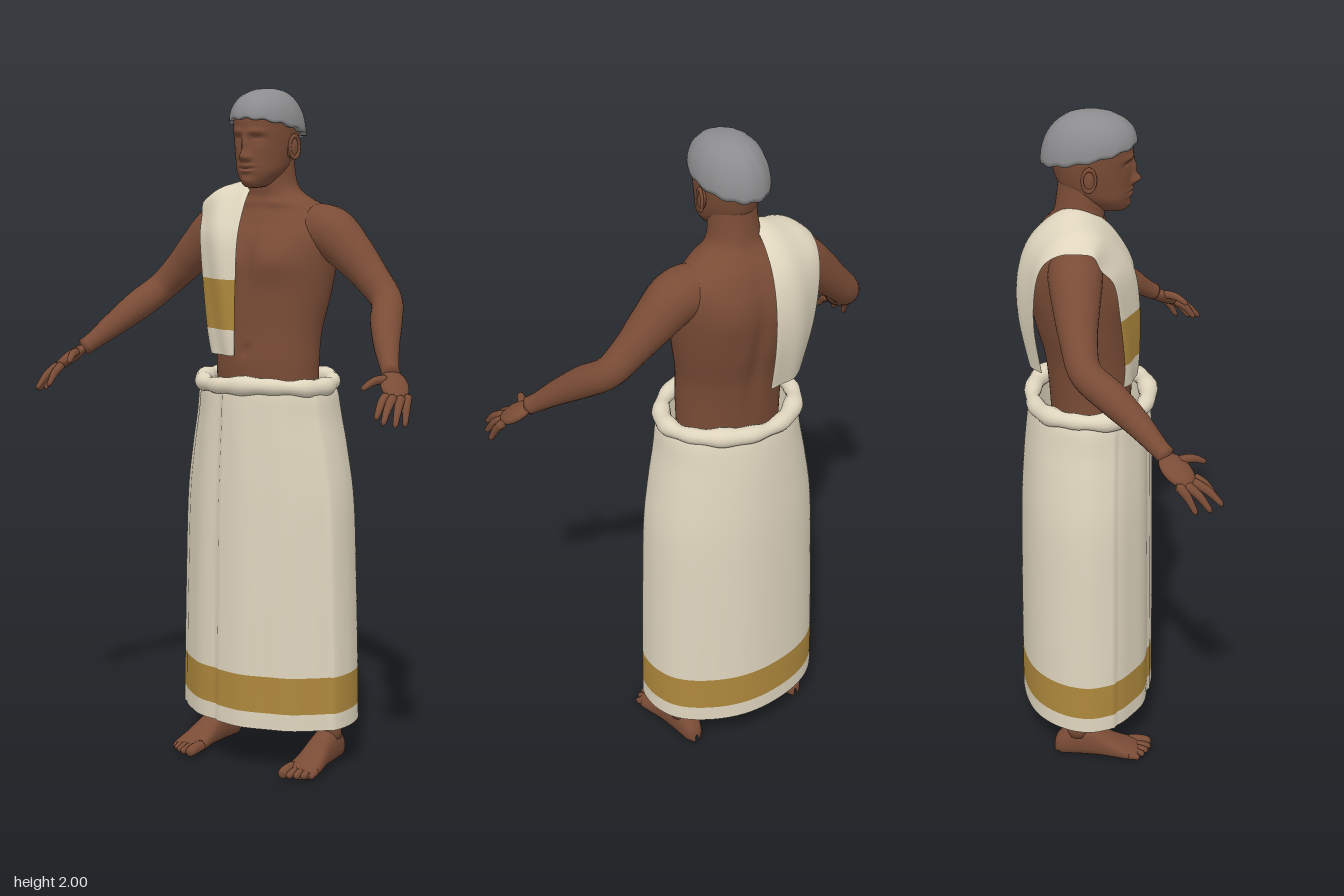
import * as THREE from 'three';
import { mergeVertices } from 'three/addons/utils/BufferGeometryUtils.js';

const { sin, cos, PI, exp, abs, min, max, floor, sign } = Math;
const mat = (name, color, side = THREE.FrontSide) => {
  const m = new THREE.MeshStandardMaterial({ color, side });
  m.name = name;
  return m;
};

// Smooth interpolation through rows of numbers; t counts rows.
function sample(rows, t) {
  const i = min(floor(t), rows.length - 2), f = t - i;
  const p0 = rows[max(i - 1, 0)], p1 = rows[i], p2 = rows[i + 1], p3 = rows[min(i + 2, rows.length - 1)];
  return p1.map((b, k) => {
    const c = p2[k], m1 = (c - p0[k]) / 2, m2 = (p3[k] - b) / 2;
    return b + f * (m1 + f * (3 * (c - b) - 2 * m1 - m2 + f * (2 * (b - c) + m1 + m2)));
  });
}

// Smooth surface from fn(u, v) => [x, y, z]
function surface(fn, nu, nv) {
  const pos = [], idx = [];
  for (let j = 0; j <= nv; j++) for (let i = 0; i <= nu; i++) pos.push(...fn(i / nu, j / nv));
  for (let j = 0; j < nv; j++) for (let i = 0; i < nu; i++) {
    const a = j * (nu + 1) + i, d = a + nu + 1;
    idx.push(a, a + 1, d + 1, a, d + 1, d);
  }
  const g = new THREE.BufferGeometry();
  g.setAttribute('position', new THREE.Float32BufferAttribute(pos, 3));
  g.setIndex(idx);
  const merged = mergeVertices(g, 1e-5);
  merged.computeVertexNormals();
  return merged;
}

// Upright body through rows [y, half width, back z, front z]; angle 0 faces front.
function loft(rows, nu, nv, warp = (p) => p, t0 = 0, t1 = rows.length - 1) {
  return surface((u, v) => {
    const [y, rx, zb, zf] = sample(rows, t0 + (t1 - t0) * v), a = (u % 1) * 2 * PI;
    return warp([rx * sin(a), y, (zf + zb) / 2 + (zf - zb) / 2 * cos(a)], a);
  }, nu, nv);
}

// Round limb through points [x, y, z, radius]
function limb(points, radial = 16, steps = 8) {
  const curve = new THREE.CatmullRomCurve3(points.map((p) => new THREE.Vector3(...p)));
  const n = steps * (points.length - 1);
  let g = new THREE.TubeGeometry(curve, n, 1, radial);
  const p = g.attributes.position, v = new THREE.Vector3();
  for (let i = 0; i <= n; i++) {
    const c = curve.getPointAt(i / n);
    const t = curve.getUtoTmapping(i / n) * (points.length - 1);
    const r = i === 0 || i === n ? 0 : sample(points, t)[3];
    for (let j = 0; j <= radial; j++) {
      const k = i * (radial + 1) + j;
      v.fromBufferAttribute(p, k).sub(c).multiplyScalar(r).add(c);
      p.setXYZ(k, v.x, v.y, v.z);
    }
  }
  g.deleteAttribute('uv');
  g.deleteAttribute('normal');
  g = mergeVertices(g, 1e-5);
  g.computeVertexNormals();
  return g;
}

// Gaussian bump for sculpting
const bump = (x, y, cx, cy, sx, sy, h) => h * exp(-(((x - cx) / sx) ** 2) - ((y - cy) / sy) ** 2);

export function createModel() {
  const model = new THREE.Group();
  const skin = mat('brown skin', 0x7a4c36);
  const cream = mat('cream cloth', 0xdfd5be, THREE.DoubleSide);
  const gold = mat('gold border', 0xae883c, THREE.DoubleSide);
  const grey = mat('grey cap', 0x8c8c8e, THREE.DoubleSide);
  const add = (name, g, m, parent = model) => {
    const mesh = new THREE.Mesh(g, m);
    mesh.name = name;
    parent.add(mesh);
    return mesh;
  };

  // Torso and neck with chest, belly, spine and shoulder blades
  add('torso', loft([
    [1.08, .16, -.18, .045], [1.2, .163, -.188, .054], [1.3, .166, -.2, .05], [1.4, .184, -.226, .048],
    [1.5, .2, -.243, .046], [1.57, .208, -.24, .03], [1.62, .2, -.225, .002], [1.66, .165, -.205, -.018],
    [1.69, .11, -.182, -.025], [1.72, .077, -.165, -.022], [1.78, .067, -.155, -.015], [1.84, .066, -.15, -.01],
  ], 80, 66, ([x, y, z], a) => {
    const ax = abs(x), f = max(0, cos(a)), b = max(0, -cos(a));
    z += f * (bump(ax, y, .09, 1.51, .06, .05, .017) - bump(x, y, 0, 1.5, .018, .1, .008)
      - bump(x, y, 0, 1.25, .012, .012, .012) + bump(ax, y, .08, 1.675, .07, .012, .008));
    z += b * (bump(x, y, 0, 1.42, .025, .2, .014) - bump(ax, y, .1, 1.54, .05, .07, .008));
    return [x, y, z];
  }), skin);

  // Head with nose, brow, eye sockets, lids, lips and chin
  add('head', loft([
    [1.717, .004, -.012, .014], [1.722, .028, -.04, .034], [1.738, .046, -.07, .043], [1.765, .066, -.11, .047],
    [1.8, .076, -.15, .049], [1.84, .083, -.166, .05], [1.88, .086, -.175, .053], [1.92, .086, -.178, .052],
    [1.96, .072, -.155, .025], [1.985, .004, -.07, -.06],
  ], 96, 90, ([x, y, z], a) => {
    const ax = abs(x), f = max(0, cos(a));
    z += f * (bump(x, y, 0, 1.808, .013, .014, .024) + bump(x, y, 0, 1.84, .009, .026, .015)
      + bump(ax, y, .013, 1.803, .008, .008, .008) + bump(ax, y, .034, 1.878, .026, .009, .008)
      - bump(ax, y, .034, 1.856, .018, .012, .012) + bump(ax, y, .034, 1.852, .013, .006, .007)
      + bump(x, y, 0, 1.781, .024, .006, .008) + bump(x, y, 0, 1.766, .021, .006, .008)
      - bump(x, y, 0, 1.774, .026, .003, .006) + bump(x, y, 0, 1.737, .02, .012, .006));
    return [x, y, z];
  }), skin);

  // Close cap, lower at the back
  add('cap', surface((u, v) => {
    const a = (u % 1) * 2 * PI, rim = 1.886 + .028 * cos(a) + .003 * sin(a * 13);
    const phi = max(0, v * 1.06 - .06) * PI / 2, r = v === 0 ? .84 : max(0, cos(phi)) ** .85;
    return [.101 * r * sin(a), rim + (2 - rim) * sin(phi), -.067 + .133 * r * cos(a)];
  }, 64, 18), grey);

  // Arms, hands, ears, legs and feet, built for one side and mirrored
  for (const s of [1, -1]) {
    const side = s > 0 ? 'left' : 'right';
    const mirror = (rows) => rows.map(([x, ...rest]) => [s * x, ...rest]);
    const part = (name, rows, radial, steps) => add(side + name, limb(mirror(rows), radial, steps), skin);

    part('Arm', [[.11, 1.6, -.108, .07], [.19, 1.592, -.105, .075], [.27, 1.53, -.102, .063], [.335, 1.468, -.096, .051],
      [.395, 1.408, -.078, .045], [.435, 1.355, -.01, .045], [.478, 1.298, .06, .036], [.522, 1.245, .118, .026],
      [.54, 1.228, .14, .027]], 24);
    // Palm: flat blade between wrist and knuckles
    const palm = add(side + 'Palm', new THREE.SphereGeometry(1, 20, 14), skin);
    const along = new THREE.Vector3(s * .055, -.06, .075).normalize();
    const across = new THREE.Vector3(s * .06, -.015, -.056).normalize();
    const thick = new THREE.Vector3().crossVectors(along, across).normalize();
    across.crossVectors(thick, along);
    palm.quaternion.setFromRotationMatrix(new THREE.Matrix4().makeBasis(along, across, thick));
    palm.position.set(s * .562, 1.205, .16);
    palm.scale.set(.06, .04, .019);
    const fingers = [
      ['Index', [.562, 1.188, .2], [.566, 1.125, .266]], ['Middle', [.58, 1.185, .194], [.598, 1.115, .284]],
      ['Ring', [.594, 1.184, .178], [.617, 1.106, .252]], ['Little', [.602, 1.187, .158], [.625, 1.104, .212]],
      ['Thumb', [.54, 1.222, .16], [.505, 1.198, .242]],
    ];
    for (const [name, a, b] of fingers) {
      const mid = a.map((q, k) => (q + b[k]) / 2 + (k === 1 ? .01 : 0));
      part(name + 'Finger', [[...a, .013], [...mid, .0115], [...b, .007]], 10, 5);
    }

    const ear = add(side + 'Ear', new THREE.SphereGeometry(1, 16, 12), skin);
    ear.position.set(s * .085, 1.832, -.066);
    ear.scale.set(.01, .032, .02);
    ear.rotation.set(-.2, s * -.25, 0);
    const earRim = add(side + 'EarRim', new THREE.TorusGeometry(.022, .005, 8, 24), skin);
    earRim.position.set(s * .092, 1.834, -.067);
    earRim.scale.set(.85, 1.4, 1);
    earRim.rotation.set(0, PI / 2 - s * .25, 0);

    part('Leg', [[.1, 1.0, -.08, .085], [.12, .8, -.08, .085], [.15, .5, -.085, .06], [.175, .35, -.105, .058],
      [.193, .2, -.11, .042], [.198, .12, -.11, .037], [.196, .06, -.11, .036]], 20);
    // Foot rows: [z, centre x, half width, height]
    const foot = [[-.183, .19, .004, .03], [-.176, .19, .022, .055], [-.145, .191, .034, .1], [-.1, .195, .037, .115],
      [-.05, .198, .04, .096], [0, .202, .046, .066], [.04, .204, .051, .046], [.07, .204, .046, .034], [.078, .204, .004, .02]];
    add(side + 'Foot', surface((u, v) => {
      const [z, cx, w, h] = sample(foot, v * 8), a = s * (u % 1) * 2 * PI;
      const low = foot[0][0] > z - .02 ? .006 : 0;
      return [s * (cx + w * cos(s * a)), low + h * (.5 + .5 * sign(sin(s * a)) * abs(sin(s * a)) ** .8), z];
    }, 28, 32), skin).material = skin;
    for (let i = 0; i < 5; i++) {
      const x = [.168, .191, .21, .228, .245][i], tip = [.116, .115, .106, .094, .078][i], r = i ? .0115 : .017;
      part('Toe' + (i + 1), [[x, .024, .04, r], [x, .021, tip - .025, r], [x + .002, .014, tip, r * .75]], 10, 5);
    }
  }
  // Mirrored feet keep outward faces by reversing their corner order
  model.getObjectByName('rightFoot').geometry.index.array.reverse();
  model.getObjectByName('rightFoot').geometry.computeVertexNormals();

  // Wrapped skirt with overlapping edges and front folds; rows 1 and 2 bound the border
  const skirtRows = [[.14, .284, -.283, .114], [.19, .283, -.283, .114], [.3, .281, -.282, .113], [.55, .274, -.279, .112],
    [.8, .264, -.274, .11], [.95, .243, -.265, .108], [1.05, .224, -.256, .106], [1.12, .214, -.246, .104], [1.16, .2, -.235, .1]];
  const drape = ([x, y, z], a) => {
    if (a > PI) a -= 2 * PI;
    const edge = (at, w, dir, h) => {
      const d = (a - at) * dir;
      return d >= 0 && d < w ? h * (1 - d / w) : 0;
    };
    const front = max(0, cos(a)), fade = 1 - max(0, (y - 1) / .3);
    const k = 1 + edge(-.22, .7, 1, .035) + edge(-1.1, .6, -1, .03) + edge(1.15, .6, 1, .03)
      + fade * (front * .014 * sin(a * 11 + .8) + .005 * sin(a * 7));
    return [.003 + x * k, y, -.083 + (z + .083) * k];
  };
  [['skirtHem', cream, 0, 1, 3], ['skirtBorder', gold, 1, 2, 4], ['skirt', cream, 2, 8, 36]].forEach(
    ([name, m, t0, t1, n]) => add(name, loft(skirtRows, 144, n, drape, t0, t1), m));

  // Rolled waistband
  add('waistRoll', surface((u, v) => {
    const a = (u % 1) * 2 * PI, b = (v % 1) * 2 * PI;
    const r = .025 + .003 * sin(a * 5 + 1) + .002 * sin(a * 13), out = r * cos(b);
    return [(.2 + out) * sin(a), 1.152 + .005 * sin(a * 3 + .5) + r * sin(b), -.067 + (.168 + out) * cos(a)];
  }, 96, 14), cream);

  // Shoulder cloth rows: [inner x, outer x, y, z, outer edge drop, outer edge shift in z]
  const shawlRows = [
    [-.03, -.138, 1.235, .062, 0, -.035], [-.027, -.15, 1.31, .068, 0, -.04], [-.023, -.175, 1.455, .07, 0, -.055],
    [-.025, -.195, 1.57, .056, 0, -.055], [-.032, -.215, 1.655, .012, -.03, -.045], [-.04, -.225, 1.71, -.04, -.04, -.015],
    [-.045, -.225, 1.738, -.1, -.062, 0], [-.04, -.222, 1.72, -.165, -.052, .015], [-.03, -.212, 1.65, -.233, -.02, .04],
    [-.024, -.2, 1.55, -.265, 0, .05], [-.022, -.18, 1.43, -.266, 0, .045], [-.025, -.155, 1.29, -.24, 0, .035],
  ];
  const shawl = (t0, t1, n) => surface((u, v) => {
    const t = t0 + (t1 - t0) * v, a = (u % 1) * 2 * PI, w = .5 + .5 * cos(a);
    const [xi, xo, y, z, dy, dz] = sample(shawlRows, t);
    const p = sample(shawlRows, max(t - .05, 0)), q = sample(shawlRows, min(t + .05, 11));
    const ty = q[2] - p[2], tz = q[3] - p[3], len = Math.hypot(ty, tz);
    const k = (1 - w) ** 2, off = .007 * sin(a) + .003 * sin(w * 9 + t);
    return [xo + (xi - xo) * w, y + dy * k - tz / len * off, z + dz * k + ty / len * off];
  }, 40, n);
  [['shawlFrontEnd', cream, 0, 1, 6], ['shawlBorder', gold, 1, 2, 8], ['shawl', cream, 2, 11, 60]].forEach(
    ([name, m, t0, t1, n]) => add(name, shawl(t0, t1, n), m));

  return model;
}
